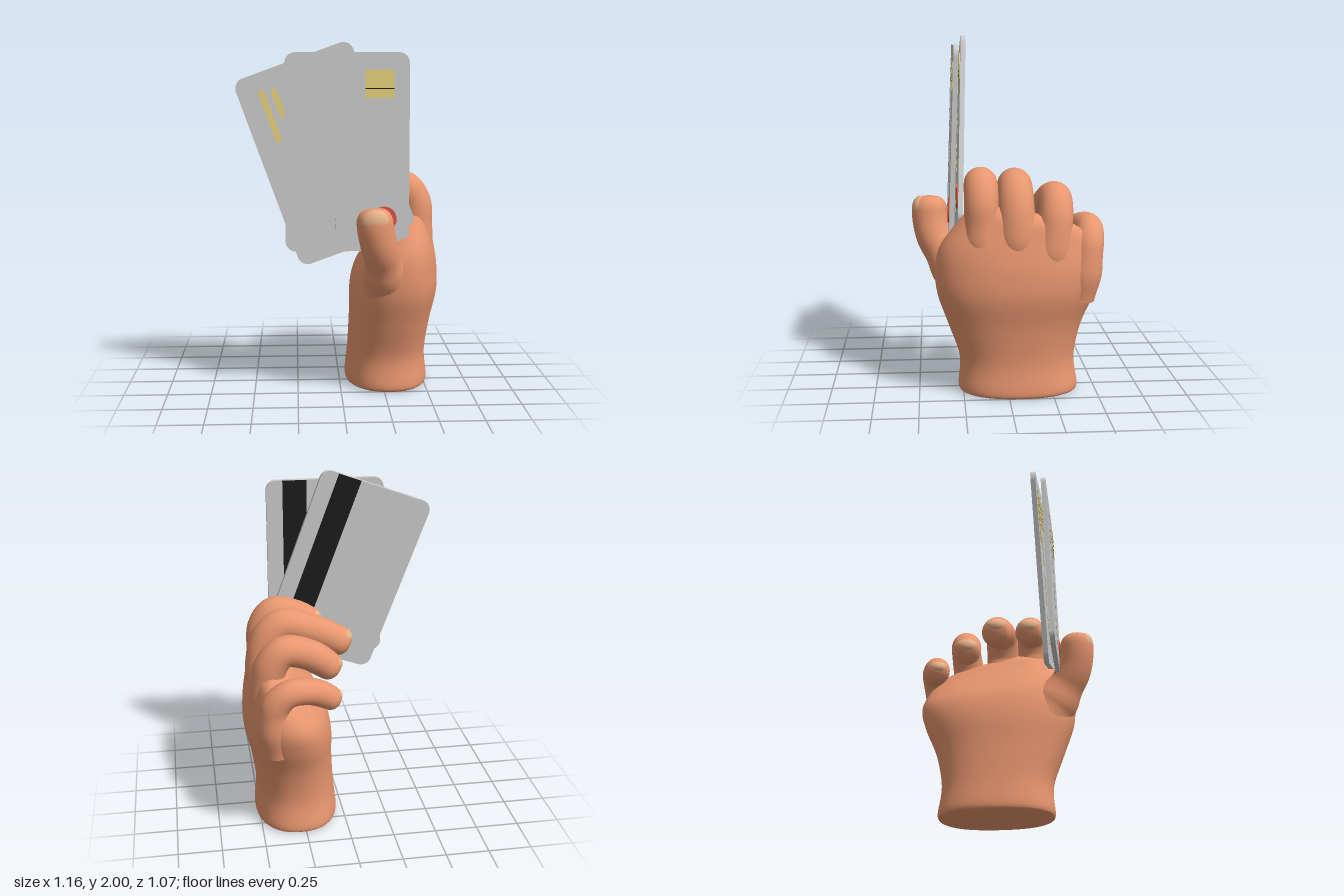
import * as THREE from 'three';
import { mergeVertices, toCreasedNormals } from 'three/addons/utils/BufferGeometryUtils.js';

const mat = (color) => new THREE.MeshStandardMaterial({ color });
const skin = mat(0xe8966f), nailSkin = mat(0xe6b088), grey = mat(0xcccccc);
const gold = mat(0xe6d27a), black = mat(0x1c1c1c), red = mat(0xe0503c);
const V = (p) => new THREE.Vector3(...p);

function add(parent, name, geometry, material, x = 0, y = 0, z = 0) {
  const m = new THREE.Mesh(geometry, material);
  m.name = name;
  m.position.set(x, y, z);
  parent.add(m);
  return m;
}

// Remove seams so that shading runs smoothly over the joined surface
function weld(geometry) {
  geometry.deleteAttribute('uv');
  geometry.deleteAttribute('normal');
  const g = mergeVertices(geometry, 1e-5);
  g.computeVertexNormals();
  return g;
}

// Wrist and palm: a cylinder shaped by sections [y, xMin, xMax, zMin, zMax]
function palmGeometry() {
  const sections = [
    [0.005, 0.06, 0.5, -0.38, 0.255], [0.035, 0.035, 0.523, -0.402, 0.277],
    [0.2, 0.05, 0.51, -0.382, 0.27], [0.4, 0.06, 0.535, -0.42, 0.335],
    [0.58, 0.065, 0.573, -0.495, 0.395], [0.72, 0.1, 0.572, -0.525, 0.405],
    [0.83, 0.17, 0.555, -0.515, 0.38], [0.93, 0.25, 0.532, -0.48, 0.31],
    [1.02, 0.32, 0.51, -0.42, 0.23], [1.07, 0.39, 0.47, -0.34, 0.16],
  ];
  const spline = (f) => new THREE.CatmullRomCurve3(sections.map(f), false, 'catmullrom');
  const xs = spline((s) => new THREE.Vector3(s[1], s[2], s[0]));
  const zs = spline((s) => new THREE.Vector3(s[3], s[4], s[0]));
  const g = new THREE.CylinderGeometry(1, 1, 1, 56, 54);
  const p = g.attributes.position, n = 2.3;
  for (let i = 0; i < p.count; i++) {
    const t = THREE.MathUtils.clamp(p.getY(i) + 0.5, 0, 1);
    const c = p.getX(i), s = p.getZ(i);
    const r = Math.hypot(c, s) || 1;
    const f = r / Math.pow(Math.abs(c) ** n + Math.abs(s) ** n || 1, 1 / n);
    const a = xs.getPoint(t), b = zs.getPoint(t);
    const x = (a.x + a.y) / 2 + c * f * (a.y - a.x) / 2;
    const z = (b.x + b.y) / 2 + s * f * (b.y - b.x) / 2;
    // the knuckle line falls towards the little finger
    const y = a.z + 0.22 * Math.min(z, 0.15) * Math.max(0, (a.z - 0.6) / 0.45);
    p.setXYZ(i, x, y, z);
  }
  return toCreasedNormals(weld(g), 0.95);
}

// Finger: a tube with varying radius and a round tip
function addFinger(hand, { name, points, radii, up }) {
  const group = new THREE.Group();
  group.name = name;
  hand.add(group);
  const curve = new THREE.CatmullRomCurve3(points.map(V));
  const rows = 72, sides = 28;
  const g = new THREE.TubeGeometry(curve, rows, 1, sides);
  const p = g.attributes.position, nor = g.attributes.normal;
  const tipR = radii[radii.length - 1], capStart = 1 - tipR * 0.9 / curve.getLength();
  const radiusAt = (u) => {
    const k = Math.min(u * (radii.length - 1), radii.length - 1.0001), i = Math.floor(k);
    const r = THREE.MathUtils.lerp(radii[i], radii[i + 1], THREE.MathUtils.smoothstep(k - i, 0, 1));
    const e = Math.max(0, (u - capStart) / (1 - capStart));
    return r * Math.pow(Math.max(0, 1 - e ** 2.4), 1 / 2.4);
  };
  for (let i = 0; i < p.count; i++) {
    const u = Math.floor(i / (sides + 1)) / rows;
    const c = curve.getPointAt(u), r = radiusAt(u);
    p.setXYZ(i, c.x + nor.getX(i) * r, c.y + nor.getY(i) * r, c.z + nor.getZ(i) * r);
  }
  add(group, name + 'Flesh', weld(g), skin);

  // Nail lying on the outer side of the tip
  const u = 1 - tipR * 0.75 / curve.getLength();
  const dir = curve.getTangentAt(u);
  const out = V(up).addScaledVector(dir, -V(up).dot(dir)).normalize();
  const side = new THREE.Vector3().crossVectors(out, dir);
  const nail = add(group, name + 'Nail', new THREE.SphereGeometry(1, 24, 16), nailSkin);
  nail.quaternion.setFromRotationMatrix(new THREE.Matrix4().makeBasis(side, out, dir));
  nail.position.copy(curve.getPointAt(u)).addScaledVector(out, tipR * 0.48);
  nail.scale.set(tipR * 0.8, tipR * 0.52, tipR * 0.72);
}

// Bank card with its details on the front and a stripe on the back
function makeCard(name, detail) {
  const card = new THREE.Group();
  card.name = name;
  const w = 0.345, h = 0.55, r = 0.06, depth = 0.028;
  const s = new THREE.Shape();
  s.absarc(w - r, h - r, r, 0, Math.PI / 2);
  s.absarc(-w + r, h - r, r, Math.PI / 2, Math.PI);
  s.absarc(-w + r, -h + r, r, Math.PI, Math.PI * 1.5);
  s.absarc(w - r, -h + r, r, Math.PI * 1.5, Math.PI * 2);
  const body = new THREE.ExtrudeGeometry(s, { depth, bevelEnabled: false, curveSegments: 8 });
  add(card, 'cardBody', body.translate(0, 0, -depth / 2), grey);
  const box = (n, m, x, y, bw, bh, z = depth / 2, d = 0.008) =>
    add(card, n, new THREE.BoxGeometry(bw, bh, d), m, x, y, z);

  box('stripe', black, 0.18, 0, 0.14, h * 2 - 0.002, -depth / 2, 0.003);
  // chip with contact grooves
  box('chip', gold, 0.18, 0.378, 0.16, 0.155);
  box('chipGroove', black, 0.18, 0.352, 0.16, 0.006, depth / 2 + 0.003, 0.004);
  for (const y of [0.4, 0.425]) box('chipGroove', gold, 0.18, y, 0.16, 0.004, depth / 2 + 0.003, 0.005);
  // embossed bars
  box('longBar', detail, -0.215, 0.303, 0.034, 0.3);
  box('shortBar', detail, -0.147, 0.358, 0.034, 0.165);
  for (let i = 0; i < 16; i++) {
    const y = 0.445 - (i + Math.floor(i / 4)) * 0.0475;
    box('embossedMark', detail, -0.035, y, 0.06, 0.028, depth / 2, 0.006);
  }
  // round badge
  const disc = add(card, 'badge', new THREE.CylinderGeometry(0.07, 0.07, 0.012, 32), red, 0.205, -0.37, depth / 2);
  disc.rotation.x = Math.PI / 2;
  return card;
}

export function createModel() {
  const model = new THREE.Group();
  model.name = 'handHoldingCards';
  const hand = new THREE.Group();
  hand.name = 'hand';
  model.add(hand);
  add(hand, 'palm', palmGeometry(), skin);

  const fingers = [
    { name: 'indexFinger', up: [0, 1, 0], radii: [0.09, 0.11, 0.095, 0.094, 0.09, 0.086],
      points: [[0.4, 0.72, 0.14], [0.425, 0.92, 0.15], [0.425, 1.1, 0.15], [0.36, 1.19, 0.15], [0.24, 1.17, 0.15], [0.1, 1.09, 0.15]] },
    { name: 'middleFinger', up: [0, 1, 0], radii: [0.09, 0.12, 0.1, 0.094, 0.092, 0.085],
      points: [[0.42, 0.72, -0.04], [0.435, 0.92, -0.04], [0.425, 1.08, -0.04], [0.34, 1.18, -0.04], [0.16, 1.14, -0.04], [-0.06, 1.03, -0.03]] },
    { name: 'ringFinger', up: [0, 1, 0], radii: [0.09, 0.115, 0.095, 0.09, 0.088, 0.08],
      points: [[0.42, 0.66, -0.22], [0.435, 0.85, -0.24], [0.425, 1.02, -0.26], [0.35, 1.11, -0.265], [0.2, 1.07, -0.24], [0.04, 0.95, -0.215]] },
    { name: 'littleFinger', up: [0, 1, 0], radii: [0.09, 0.1, 0.084, 0.077, 0.075, 0.066],
      points: [[0.41, 0.56, -0.39], [0.425, 0.72, -0.42], [0.415, 0.87, -0.445], [0.34, 0.94, -0.455], [0.2, 0.925, -0.42], [0.06, 0.84, -0.385]] },
    { name: 'thumb', up: [-0.05, 0.25, 1], radii: [0.12, 0.16, 0.135, 0.105, 0.102, 0.1],
      points: [[0.29, 0.44, 0.14], [0.27, 0.62, 0.23], [0.245, 0.75, 0.325], [0.205, 0.88, 0.405], [0.18, 0.99, 0.43], [0.17, 1.11, 0.43]] },
  ];
  fingers.forEach((f) => addFinger(hand, f));

  // Two cards fanned between thumb and index finger
  const front = makeCard('frontCard', grey);
  front.position.set(0.03, 1.4, 0.297);
  front.rotation.x = -0.033;
  const rear = makeCard('rearCard', gold);
  rear.position.set(-0.09, 1.388, 0.252);
  rear.rotation.set(-0.033, 0, THREE.MathUtils.degToRad(20));
  model.add(front, rear);
  return model;
}
